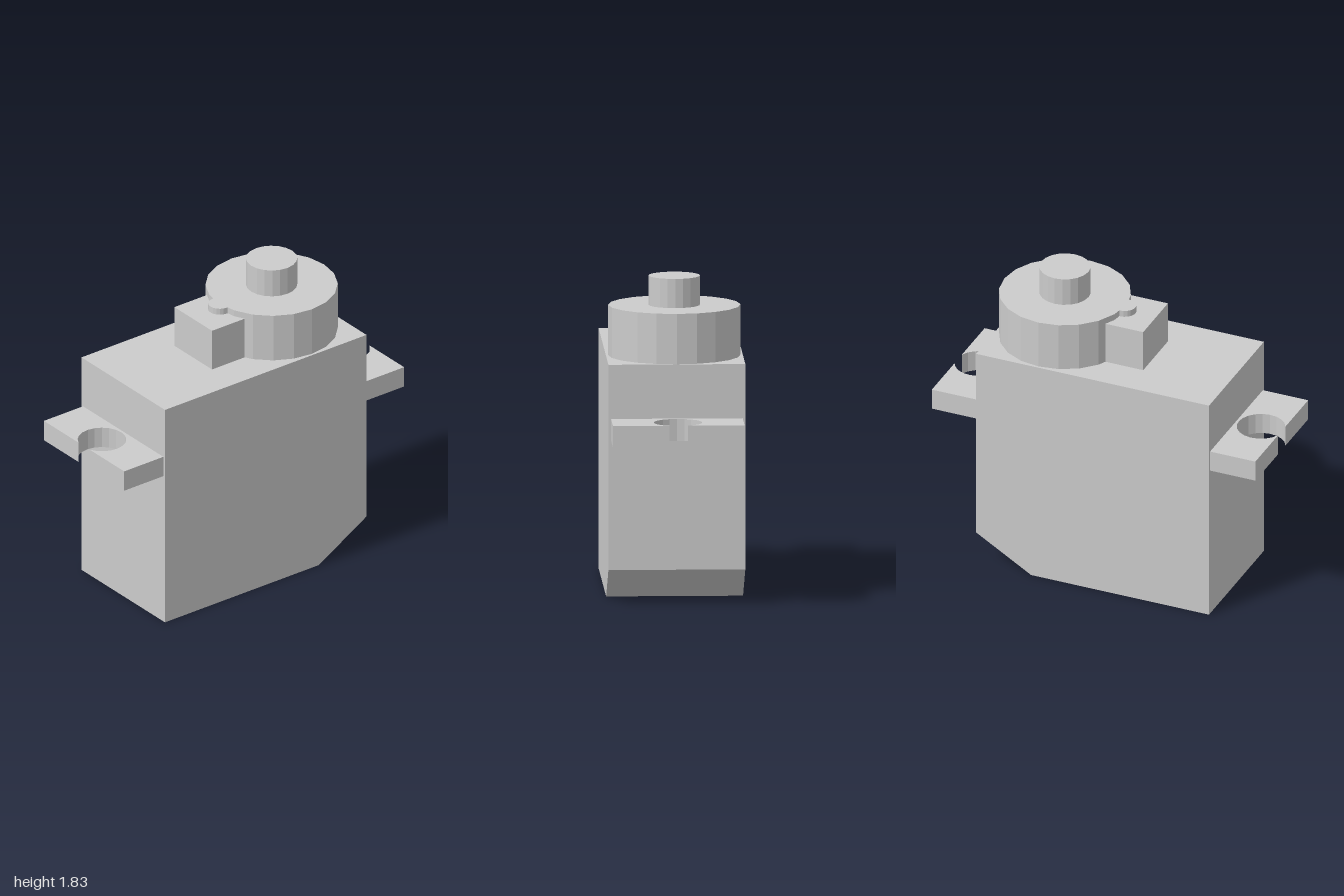
import * as THREE from 'three';

const SIDES = 20;

export function createModel() {
  const model = new THREE.Group();
  const material = new THREE.MeshStandardMaterial({ color: 0xcccccc, flatShading: true });

  const add = (name, geometry, x = 0, y = 0, z = 0) => {
    const mesh = new THREE.Mesh(geometry, material);
    mesh.name = name;
    mesh.position.set(x, y, z);
    model.add(mesh);
    return mesh;
  };
  const extrude = (points, depth) => new THREE.ExtrudeGeometry(
    new THREE.Shape(points.map(([x, y]) => new THREE.Vector2(x, y))),
    { depth, bevelEnabled: false });
  // Upright cylinder standing between two heights
  const post = (name, x, radius, y0, y1) => add(name,
    new THREE.CylinderGeometry(radius, radius, y1 - y0, SIDES), x, (y0 + y1) / 2);

  // Case with one chamfered lower edge
  add('case', extrude(
    [[-0.72, 0], [0.38, 0], [0.72, 0.2], [0.72, 1.375], [-0.72, 1.375]], 0.776), 0, 0, -0.388);

  // Mounting ears: plates with a screw hole that breaks through the outer edge
  const holeX = 0.872, holeR = 0.138;
  const start = Math.acos((1 - holeX) / holeR);
  const outline = [[0.72, 0.373], [0.72, -0.373], [1, -0.373]];
  for (let i = 0; i <= 18; i++) {
    const a = -start - (i / 18) * 2 * (Math.PI - start);
    outline.push([holeX + holeR * Math.cos(a), holeR * Math.sin(a)]);
  }
  outline.push([1, 0.373]);
  const earGeometry = extrude(outline, 0.125).rotateX(-Math.PI / 2);
  add('leftMountingEar', earGeometry, 0, 0.94);
  add('rightMountingEar', earGeometry, 0, 0.94).rotation.y = Math.PI;

  // Gear housing, output shaft and the small boss beside them
  post('gearHousing', 0.34, 0.375, 1.375, 1.663);
  post('outputShaft', 0.34, 0.146, 1.663, 1.83);
  post('smallBoss', -0.03, 0.066, 1.375, 1.663);
  add('gearBlock', new THREE.BoxGeometry(0.32, 0.25, 0.35), -0.06, 1.5);

  return model;
}
